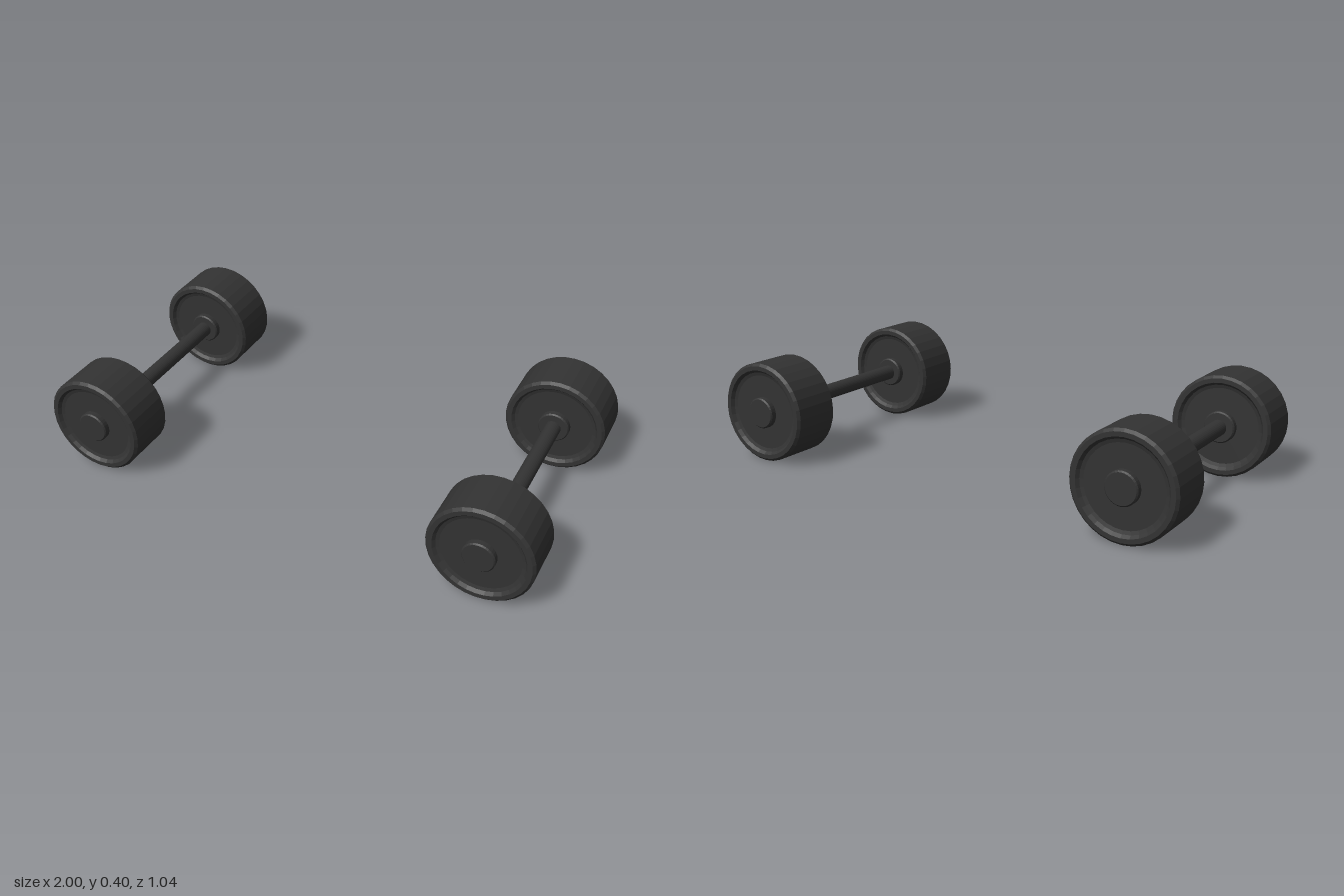
import * as THREE from 'three';

const SIDES = 32;
const material = new THREE.MeshStandardMaterial({ color: 0x333333, flatShading: true });

// Lathe a half profile [radius, depth], mirrored about its middle, along the z axis
function turned(name, half, z) {
  const lower = half.map(([r, d]) => new THREE.Vector2(r, -d));
  const upper = half.map(([r, d]) => new THREE.Vector2(r, d)).reverse();
  const geometry = new THREE.LatheGeometry([...lower, ...upper], SIDES).rotateX(Math.PI / 2);
  const mesh = new THREE.Mesh(geometry, material);
  mesh.name = name;
  mesh.position.z = z;
  return mesh;
}

// Weight with bevelled edges, a raised rim and dished faces
const weightProfile = [[0, 0.088], [0.15, 0.088], [0.163, 0.092], [0.173, 0.104], [0.19, 0.104], [0.2, 0.094]];
// Hub passing through the weight and standing proud on both sides
const hubProfile = [[0, 0.113], [0.057, 0.113], [0.062, 0.108]];

function createDumbbell() {
  const dumbbell = new THREE.Group();
  dumbbell.name = 'dumbbell';

  const handle = new THREE.Mesh(
    new THREE.CylinderGeometry(0.031, 0.031, 0.8, SIDES).rotateX(Math.PI / 2), material);
  handle.name = 'handle';
  dumbbell.add(handle);

  for (const z of [-0.407, 0.407]) {
    dumbbell.add(turned('weight', weightProfile, z), turned('hub', hubProfile, z));
  }
  return dumbbell;
}

export function createModel() {
  const model = new THREE.Group();
  model.name = 'dumbbellPair';
  for (const x of [-0.8, 0.8]) {
    const dumbbell = createDumbbell();
    dumbbell.position.set(x, 0.2, 0);
    model.add(dumbbell);
  }
  return model;
}
